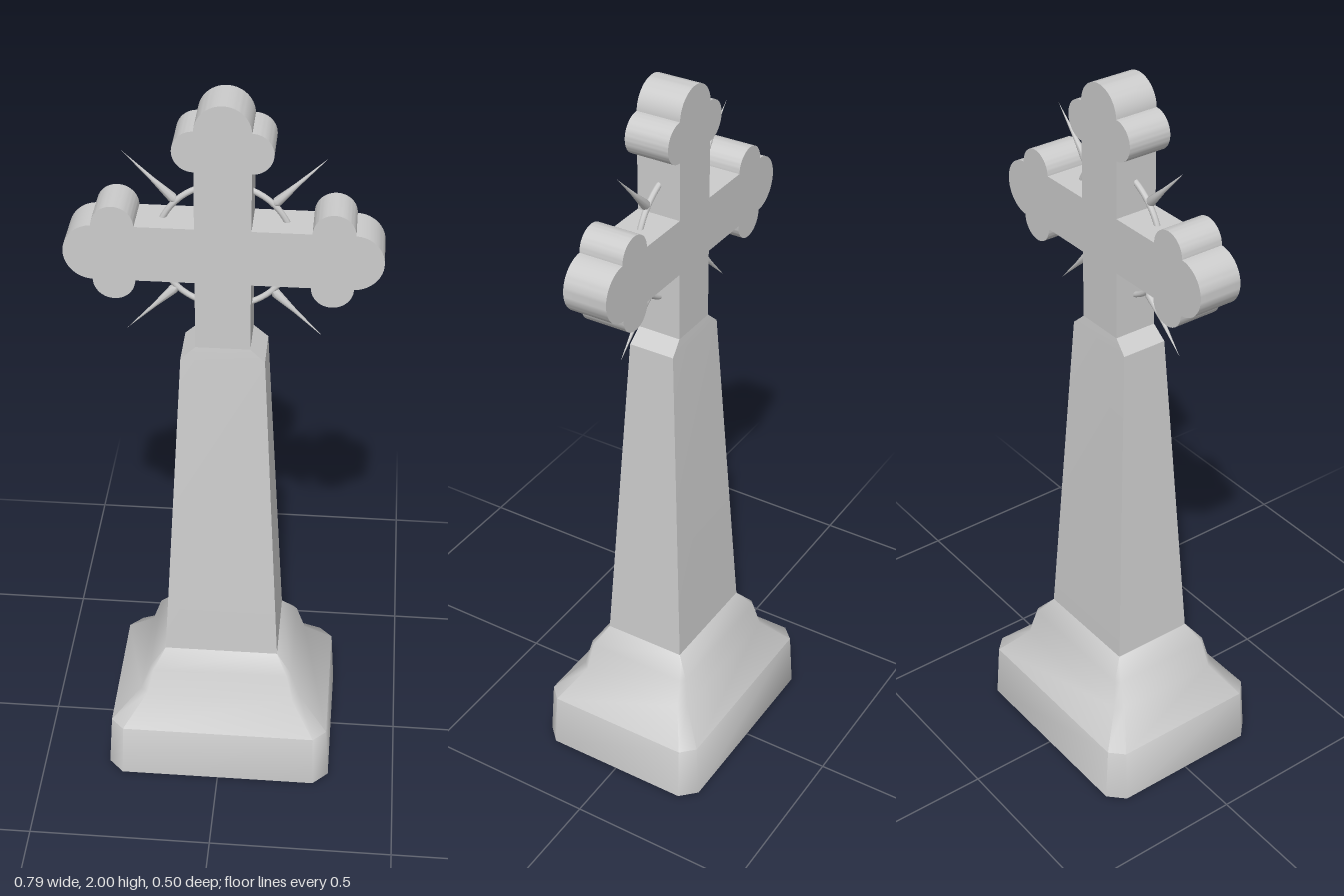
import * as THREE from 'three';
import { toCreasedNormals } from 'three/addons/utils/BufferGeometryUtils.js';

const CENTRE_Y = 1.597; // height of the crossing
const DEPTH = 0.12;

// Skin through chamfered rectangles, each given as [y, halfX, halfZ, chamfer]
function loft(rings, crease) {
  const position = [], index = [];
  for (const [y, x, z, c] of rings) {
    const corners = [
      [x, z - c], [x, c - z], [x - c, -z], [c - x, -z],
      [-x, c - z], [-x, z - c], [c - x, z], [x - c, z],
    ];
    for (const [px, pz] of corners) position.push(px, y, pz);
  }
  for (let r = 0; r < rings.length - 1; r++) {
    for (let i = 0; i < 8; i++) {
      const a = r * 8 + i, b = r * 8 + (i + 1) % 8;
      index.push(a, b, b + 8, a, b + 8, a + 8);
    }
  }
  const geometry = new THREE.BufferGeometry();
  geometry.setAttribute('position', new THREE.Float32BufferAttribute(position, 3));
  geometry.setIndex(index);
  return toCreasedNormals(geometry, crease);
}

// Three-lobed arm end, walked anticlockwise; w = half width, d = distance to the side lobes
function addArm(shape, angle, w, d, inner) {
  const cos = Math.cos(angle), sin = Math.sin(angle);
  const at = (u, v) => [u * cos - v * sin, u * sin + v * cos];
  const arc = (u, v, r, from, to) =>
    shape.absarc(...at(u, v), r, angle + from, angle + to, false);
  const lobe = 0.053;
  shape.lineTo(...at(d - lobe, -w));
  arc(d, -w, lobe, Math.PI, Math.PI * 2);
  arc(d + 0.05, 0, w, -Math.PI / 2, Math.PI / 2);
  arc(d, w, lobe, 0, Math.PI);
  shape.lineTo(...at(inner, w));
}

function crossGeometry() {
  const wx = 0.07, wy = 0.075, bottom = 1.33 - CENTRE_Y;
  const shape = new THREE.Shape();
  shape.moveTo(-wx, bottom);
  shape.lineTo(wx, bottom);
  shape.lineTo(wx, -wy);
  addArm(shape, 0, wy, 0.271, wx);
  addArm(shape, Math.PI / 2, wx, 0.282, wy);
  addArm(shape, Math.PI, wy, 0.271, wx);
  shape.lineTo(-wx, bottom);
  const geometry = new THREE.ExtrudeGeometry(shape, {
    depth: DEPTH, bevelEnabled: false, curveSegments: 14,
  });
  geometry.translate(0, 0, -DEPTH / 2);
  return toCreasedNormals(geometry, 0.5);
}

export function createModel() {
  const model = new THREE.Group();
  const material = new THREE.MeshStandardMaterial({ color: 0xcccccc });
  const openMaterial = new THREE.MeshStandardMaterial({ color: 0xcccccc, side: THREE.DoubleSide });
  const add = (parent, name, geometry, mat = material) => {
    const mesh = new THREE.Mesh(geometry, mat);
    mesh.name = name;
    parent.add(mesh);
    return mesh;
  };

  // Hollow stepped plinth, softly shaded
  add(model, 'plinth', loft([
    [0, 0.315, 0.25, 0.042],
    [0.16, 0.305, 0.24, 0.036],
    [0.24, 0.225, 0.17, 0.02],
    [0.315, 0.2, 0.155, 0.012],
    [0.365, 0.157, 0.116, 0],
  ], 0.95), openMaterial);

  // Tapering shaft with a bevelled shoulder
  add(model, 'shaft', loft([
    [0.365, 0.157, 0.116, 0],
    [1.3, 0.108, 0.064, 0],
    [1.335, 0.07, 0.06, 0],
  ], 0.3), openMaterial);

  // Cross with lobed ends
  const head = new THREE.Group();
  head.name = 'head';
  head.position.y = CENTRE_Y;
  model.add(head);
  add(head, 'cross', crossGeometry());

  // Thin ring and four diagonal spikes
  add(head, 'ring', new THREE.TorusGeometry(0.17, 0.008, 8, 64));
  const profile = [[0, 0.16], [0.013, 0.182], [0.006, 0.25], [0, 0.354]]
    .map(([r, y]) => new THREE.Vector2(r, y));
  const spikeGeometry = new THREE.LatheGeometry(profile, 8);
  for (let i = 0; i < 4; i++) {
    add(head, 'spike', spikeGeometry).rotation.z = Math.PI / 4 + i * Math.PI / 2;
  }
  return model;
}
